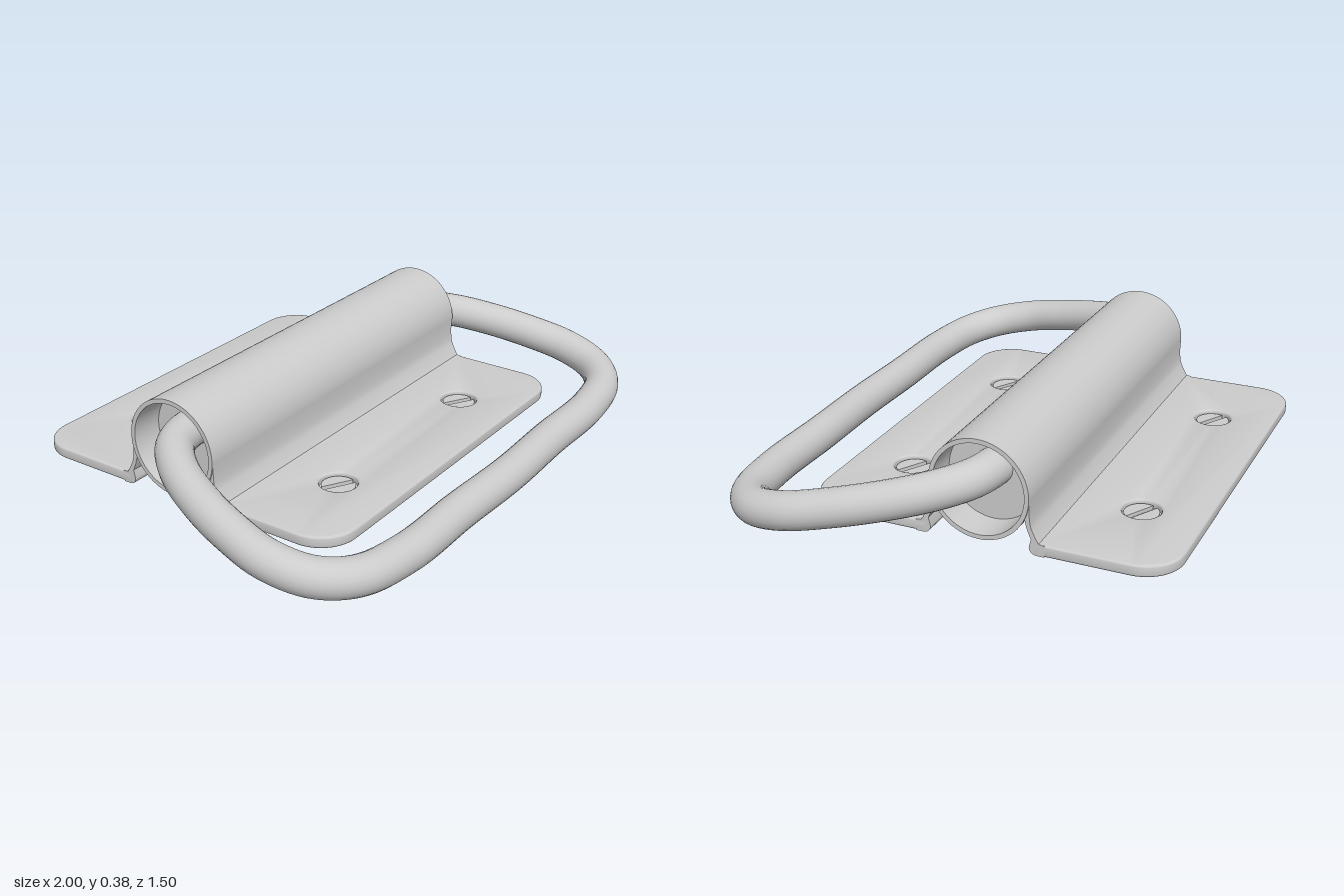
import * as THREE from 'three';
import { toCreasedNormals } from 'three/addons/utils/BufferGeometryUtils.js';

const material = new THREE.MeshStandardMaterial({ color: 0xcccccc });
const HALF = 0.718; // half length of the bracket along x
const AXIS_Y = 0.21; // height of the barrel axis
const SCREW_X = 0.38, SCREW_D = 0.403;

function part(name, geometry, parent) {
  const mesh = new THREE.Mesh(toCreasedNormals(geometry, 0.6), material);
  mesh.name = name;
  parent.add(mesh);
  return mesh;
}

// Flat plate with two rounded outer corners and two screw holes
function plateGeometry() {
  const near = 0.185, far = 0.614, r = 0.13;
  const s = new THREE.Shape();
  s.moveTo(-HALF, near);
  s.lineTo(HALF, near);
  s.lineTo(HALF, far - r);
  s.absarc(HALF - r, far - r, r, 0, Math.PI / 2, false);
  s.absarc(-HALF + r, far - r, r, Math.PI / 2, Math.PI, false);
  s.closePath();
  for (const x of [-SCREW_X, SCREW_X]) {
    s.holes.push(new THREE.Path().absarc(x, SCREW_D, 0.064, 0, Math.PI * 2, true));
  }
  const g = new THREE.ExtrudeGeometry(s, {
    depth: 0.024, bevelThickness: 0.008, bevelSize: 0.008, bevelOffset: -0.008,
    bevelSegments: 3, curveSegments: 16,
  });
  return g.rotateX(Math.PI / 2).translate(0, 0.057, 0);
}

// Bent strip that rises from the plate and meets the barrel
function flangeGeometry() {
  const s = new THREE.Shape();
  s.moveTo(0.215, 0.025);
  s.lineTo(0.215, 0.064);
  s.lineTo(0.197, 0.066);
  s.quadraticCurveTo(0.182, 0.09, 0.172, 0.115);
  s.quadraticCurveTo(0.164, 0.14, 0.167, 0.21);
  s.lineTo(0.152, 0.21);
  s.lineTo(0.15, 0.15);
  s.quadraticCurveTo(0.155, 0.11, 0.172, 0.078);
  s.lineTo(0.165, 0.05);
  s.quadraticCurveTo(0.166, 0.027, 0.19, 0.025);
  s.closePath();
  const g = new THREE.ExtrudeGeometry(s, { depth: 2 * HALF, bevelEnabled: false, curveSegments: 6 });
  return g.translate(0, 0, -HALF).rotateY(-Math.PI / 2);
}

// Recessed screw: a base disc and two half heads leaving a slot between them
function addScrew(x, z, parent) {
  const screw = new THREE.Group();
  screw.name = 'screw';
  screw.position.set(x, 0, z);
  screw.rotation.y = -Math.PI / 6;
  parent.add(screw);
  part('screwBase', new THREE.CylinderGeometry(0.067, 0.067, 0.014, 32).translate(0, 0.034, 0), screw);
  const a = 0.17;
  for (const turn of [0, Math.PI]) {
    const s = new THREE.Shape().absarc(0, 0, 0.057, a, Math.PI - a, false);
    const g = new THREE.ExtrudeGeometry(s, { depth: 0.016, bevelEnabled: false, curveSegments: 20 });
    part('screwHeadHalf', g.rotateX(Math.PI / 2).translate(0, 0.054, 0).rotateY(turn), screw);
  }
}

export function createModel() {
  const model = new THREE.Group();
  model.name = 'pullHandle';

  const bracket = new THREE.Group();
  bracket.name = 'bracket';
  bracket.position.set(0.016, 0, -0.138);
  model.add(bracket);

  // Front and back mounting wings
  for (const [name, turn] of [['frontWing', 0], ['backWing', Math.PI]]) {
    const wing = new THREE.Group();
    wing.name = name;
    wing.rotation.y = turn;
    bracket.add(wing);
    part('plate', plateGeometry(), wing);
    part('flange', flangeGeometry(), wing);
    for (const x of [-SCREW_X, SCREW_X]) addScrew(x, SCREW_D, wing);
  }

  // Hollow barrel with a closing disc set inside each end
  const L = HALF + 0.004, outer = 0.167, inner = 0.152;
  const wall = [[outer, -L], [outer, L], [inner, L], [inner, -L], [outer, -L]]
    .map(([r, y]) => new THREE.Vector2(r, y));
  const barrel = part('barrel', new THREE.LatheGeometry(wall, 64).rotateZ(Math.PI / 2), bracket);
  barrel.position.y = AXIS_Y;
  for (const side of [-1, 1]) {
    const plug = part('barrelPlug', new THREE.CylinderGeometry(inner, inner, 0.02, 48).rotateZ(Math.PI / 2), bracket);
    plug.position.set(side * (HALF - 0.12), AXIS_Y, 0);
  }

  // Round bail handle, mirrored in x and sloping down towards the front
  const half = [
    [0.56, -0.145], [0.64, -0.138], [0.72, -0.108], [0.81, -0.01], [0.877, 0.13], [0.92, 0.28],
    [0.937, 0.42], [0.9, 0.55], [0.8, 0.635], [0.6, 0.675], [0.3, 0.677],
  ];
  const path = [...half, [0, 0.685], ...half.map(([x, z]) => [-x, z]).reverse()]
    .map(([x, z]) => new THREE.Vector3(x, 0.062 + (0.685 - z) * 0.214, z));
  const curve = new THREE.CatmullRomCurve3(path, false, 'centripetal');
  const handle = new THREE.Mesh(new THREE.TubeGeometry(curve, 160, 0.062, 24), material);
  handle.name = 'handle';
  model.add(handle);

  return model;
}
